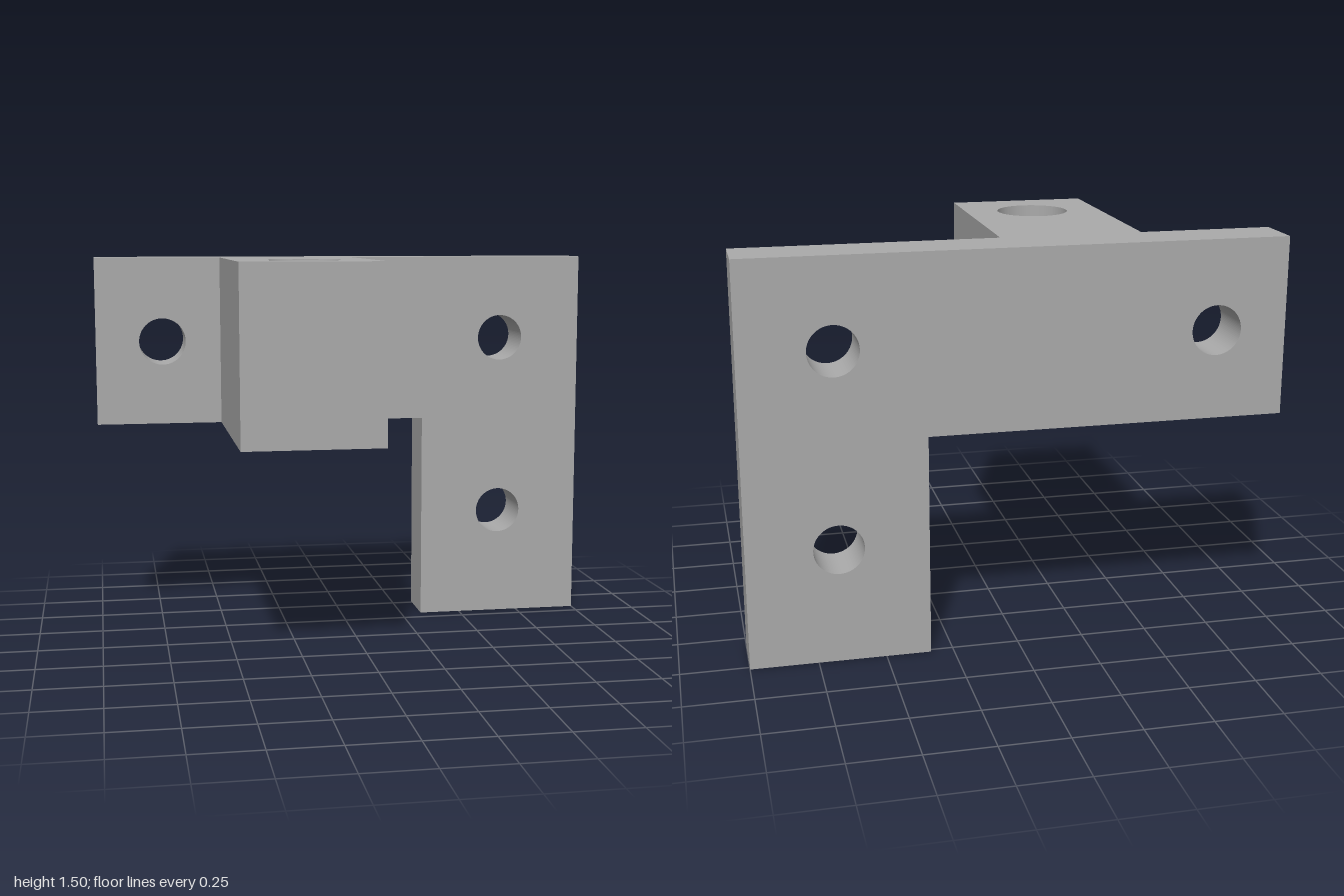
import * as THREE from 'three';

// Closed outline with round through-holes, extruded along its local z
function drilledPlate(points, holes, depth) {
  const shape = new THREE.Shape(points.map(([x, y]) => new THREE.Vector2(x, y)));
  for (const [x, y, r] of holes) {
    shape.holes.push(new THREE.Path().absarc(x, y, r, 0, Math.PI * 2, true));
  }
  return new THREE.ExtrudeGeometry(shape, { depth, bevelEnabled: false, curveSegments: 48 });
}

export function createModel() {
  const group = new THREE.Group();
  group.name = 'mountingBracket';
  const metal = new THREE.MeshStandardMaterial({ color: 0xaaaaaa });
  metal.name = 'bracketGrey';

  const top = 1.503, under = 0.836;
  const back = -0.517, plateFront = -0.318, blockFront = 0.517;

  // L-shaped back plate with three screw holes
  const plate = new THREE.Mesh(drilledPlate(
    [[-1, under], [0.334, under], [0.334, 0], [1, 0], [1, top], [-1, top]],
    [[-0.735, 1.168, 0.093], [0.664, 1.168, 0.093], [0.664, 0.435, 0.093]],
    plateFront - back), metal);
  plate.name = 'backPlate';
  plate.position.z = back;
  group.add(plate);

  // Projecting block with a vertical bore; the outline is drawn in x and -z
  const blockGeometry = drilledPlate(
    [[-0.502, -blockFront], [0.028, -blockFront], [0.028, -plateFront], [-0.502, -plateFront]],
    [[-0.235, -0.248, 0.138]],
    top - under);
  blockGeometry.rotateX(-Math.PI / 2);
  const block = new THREE.Mesh(blockGeometry, metal);
  block.name = 'boredBlock';
  block.position.y = under;
  group.add(block);

  return group;
}
